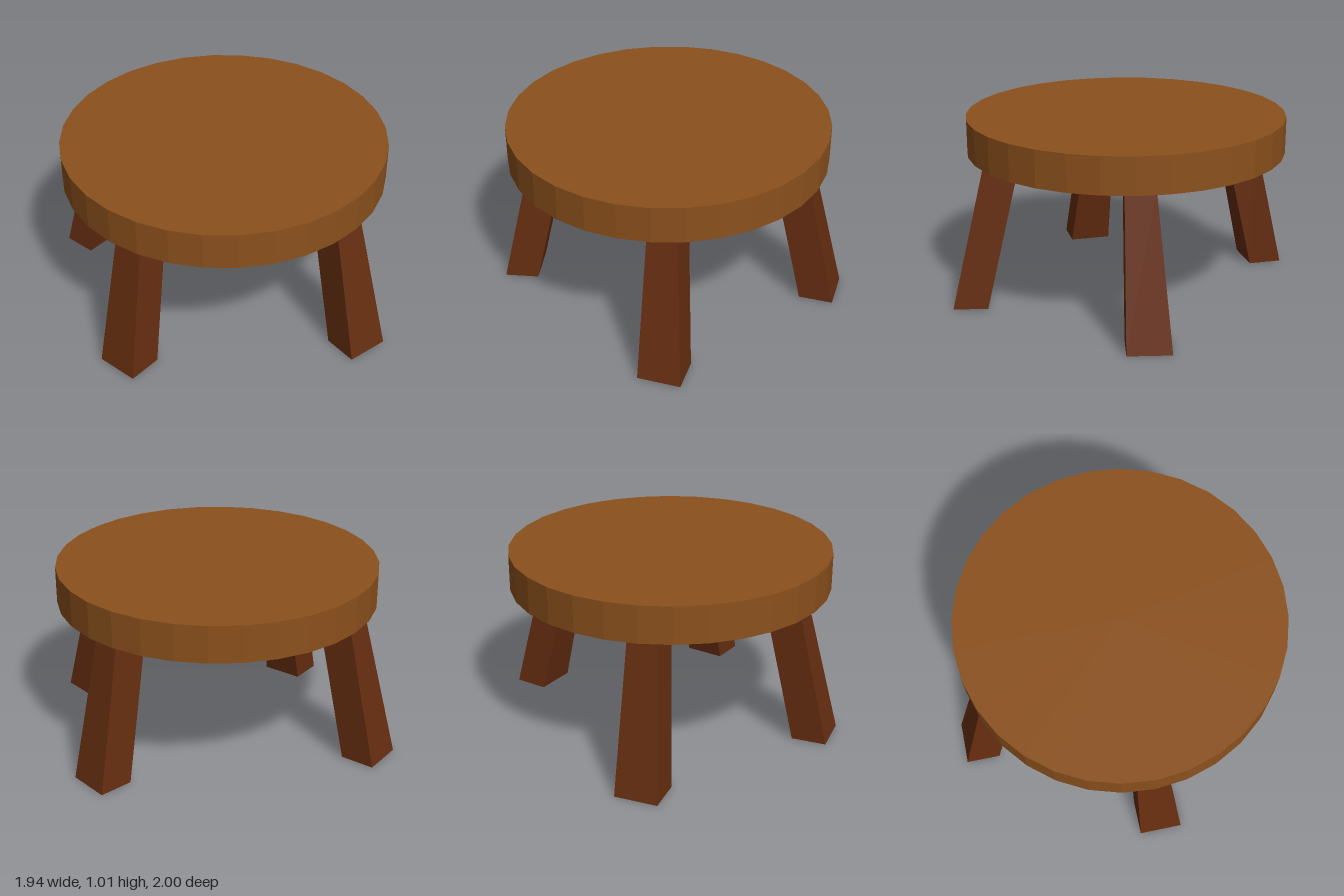
import * as THREE from 'three';

const SEAT_BOTTOM = 0.81;
const SEAT_TOP = 1.01;

// Splayed leg: origin at its lower outer corner, outward along +z.
// One side is upright, the other narrows towards the top.
function legGeometry() {
  const depth = 0.19, lean = 0.19, bottomWidth = 0.235, topWidth = 0.16;
  const geometry = new THREE.BoxGeometry(1, 1, 1);
  const p = geometry.attributes.position;
  for (let i = 0; i < p.count; i++) {
    const top = p.getY(i) > 0;
    const x = p.getX(i) > 0 ? (top ? topWidth : bottomWidth) : 0;
    const z = (p.getZ(i) > 0 ? 0 : -depth) - (top ? lean : 0);
    p.setXYZ(i, x, top ? SEAT_BOTTOM : 0, z);
  }
  geometry.computeVertexNormals();
  return geometry;
}

export function createModel() {
  const group = new THREE.Group();
  group.name = 'stool';

  const seatWood = new THREE.MeshStandardMaterial({ color: 0x8b501c, flatShading: true });
  const legWood = new THREE.MeshStandardMaterial({ color: 0x652d10, flatShading: true });

  // Round seat, slightly off centre over the legs
  const seat = new THREE.Mesh(
    new THREE.CylinderGeometry(0.88, 0.88, SEAT_TOP - SEAT_BOTTOM, 32), seatWood);
  seat.name = 'seat';
  seat.position.set(-0.03, (SEAT_TOP + SEAT_BOTTOM) / 2, -0.015);
  group.add(seat);

  // Four legs: name, corner x, corner z, turn about y
  const legs = [
    ['frontLeg', -0.1, 0.95, -0.21],
    ['leftLeg', 0.92, 0.225, Math.PI / 2 - 0.2],
    ['backLeg', -0.115, -1, Math.PI],
    ['rightLeg', -0.97, -0.09, -Math.PI / 2],
  ];
  const geometry = legGeometry();
  for (const [name, x, z, turn] of legs) {
    const leg = new THREE.Mesh(geometry, legWood);
    leg.name = name;
    leg.position.set(x, 0, z);
    leg.rotation.y = turn;
    group.add(leg);
  }
  return group;
}
